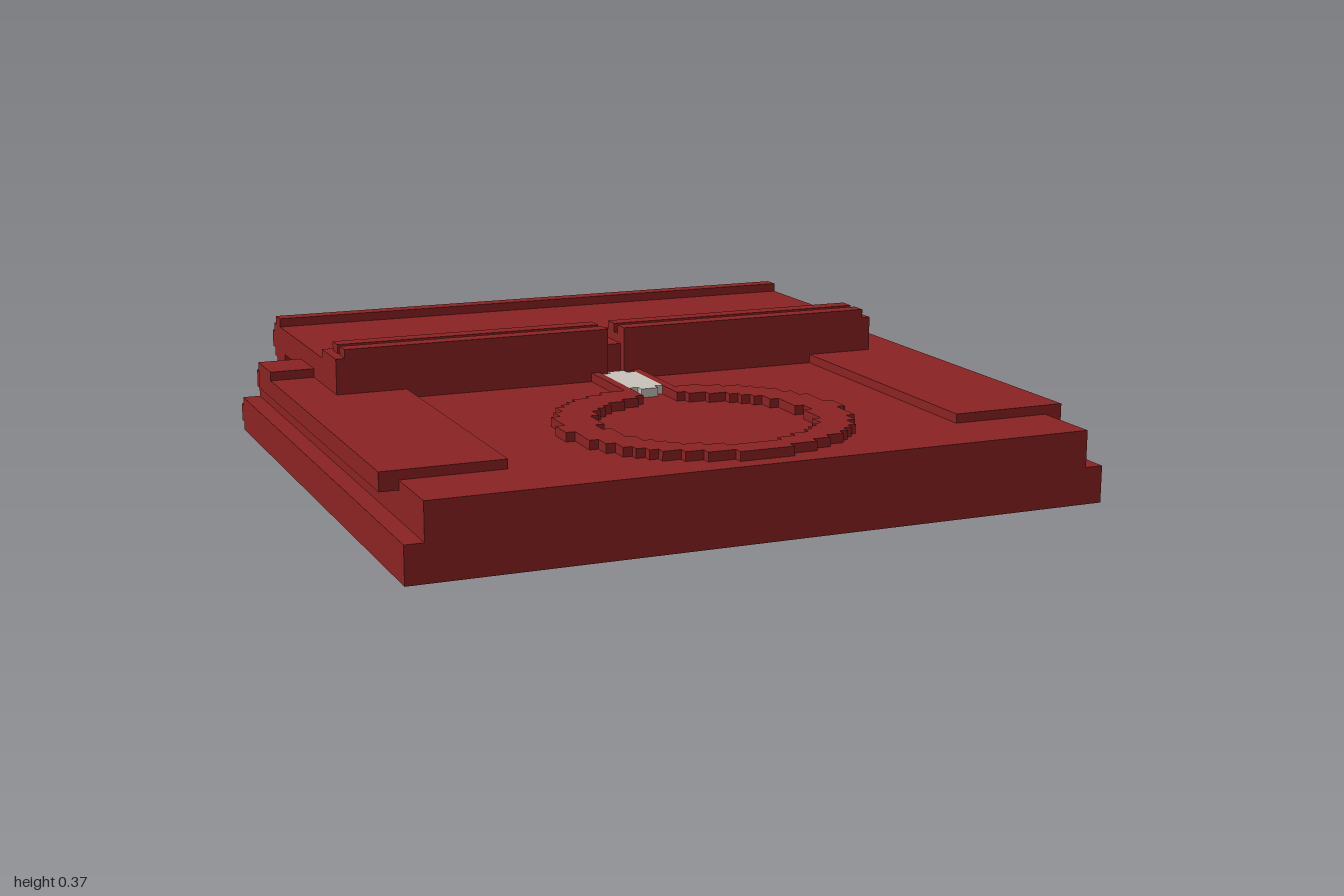
import * as THREE from 'three';
import { mergeGeometries } from 'three/addons/utils/BufferGeometryUtils.js';

// The model is blocky: all sizes are in cells, 76 cells across its width.
const CELL = 2 / 76;

const red = new THREE.MeshStandardMaterial({ color: 0x8b2222 });
red.name = 'dark red';
const grey = new THREE.MeshStandardMaterial({ color: 0xc8c3ba });
grey.name = 'light grey';

// Block between two corners given in cells
function block(x0, x1, y0, y1, z0, z1) {
  const g = new THREE.BoxGeometry((x1 - x0) * CELL, (y1 - y0) * CELL, (z1 - z0) * CELL);
  g.translate((x0 + x1) / 2 * CELL, (y0 + y1) / 2 * CELL, (z0 + z1) / 2 * CELL);
  return g;
}

// Stepped ring, one row of blocks at a time, open towards the clasp
function ringBlocks() {
  const blocks = [];
  for (let z = 3; z < 34; z++) {
    const dOut = (z + 0.5 - 18.5) / 15.4;
    const outer = Math.floor(15.8 * Math.sqrt(1 - dOut * dOut) + 0.3);
    const dIn = z + 0.5 - 19;
    let inner = Math.abs(dIn) < 11.85 ? Math.floor(Math.sqrt(11.85 ** 2 - dIn * dIn) + 0.2) : 0;
    if (z < 7) inner = 2;
    if (inner === 0) {
      blocks.push(block(-outer, outer, 8, 9, z, z + 1));
    } else {
      blocks.push(block(-outer, -inner, 8, 9, z, z + 1), block(inner, outer, 8, 9, z, z + 1));
    }
  }
  return blocks;
}

export function createModel() {
  const model = new THREE.Group();
  const add = (name, blocks, material = red) => {
    const mesh = new THREE.Mesh(mergeGeometries(blocks), material);
    mesh.name = name;
    model.add(mesh);
  };

  // Body with a wider foot and two ribs along the back
  add('base', [block(-38, 38, 0, 4, -31, 36), block(-38, 38, 1, 3, -32, -31)]);
  add('body', [block(-36, 36, 4, 8, -31, 36), block(-36, 36, 5, 7, -32, -31)]);

  // Side pads overhanging the body, each with a small step at the rear
  for (const [side, s] of [['left', 1], ['right', -1]]) {
    const mirrored = (x0, x1, ...rest) => (s > 0 ? block(x0, x1, ...rest) : block(-x1, -x0, ...rest));
    add(side + 'Pad', [mirrored(25, 38, 7, 9, -22, 28)]);
    add(side + 'PadStep', [mirrored(33, 38, 9, 10, -22, -16)]);

    // Raised front edge of the cover with two ridges, split in the middle
    add(side + 'FlapEdge', [
      mirrored(1, 33, 8, 13, -12, -6),
      mirrored(1, 32, 13, 14, -8, -6),
      mirrored(1, 32, 13, 14, -11, -9),
    ]);

    // Wall beside the clasp
    add(side + 'ClaspWall', [mirrored(2, 3, 8, 9, -6, 3)]);
  }

  // Cover, with the middle notch filled just behind its front
  add('cover', [block(-33, 33, 9, 12, -32, -12), block(-1, 1, 8, 12, -12, -7)]);

  // Rounded spine behind the cover
  add('spine', [
    block(-33, 33, 7, 8, -34, -31),
    block(-33, 33, 8, 9, -35, -30),
    block(-33, 33, 9, 11, -36, -32),
    block(-33, 33, 11, 12, -35, -32),
    block(-33, 33, 12, 13, -34, -32),
  ]);

  add('ring', ringBlocks());

  // Clasp with narrowed ends
  add('clasp', [
    block(-2, 2, 8, 9, -5, 3),
    block(-1, 1, 8, 9, -6, -5),
    block(-1, 1, 8, 9, 3, 4),
  ], grey);

  return model;
}
